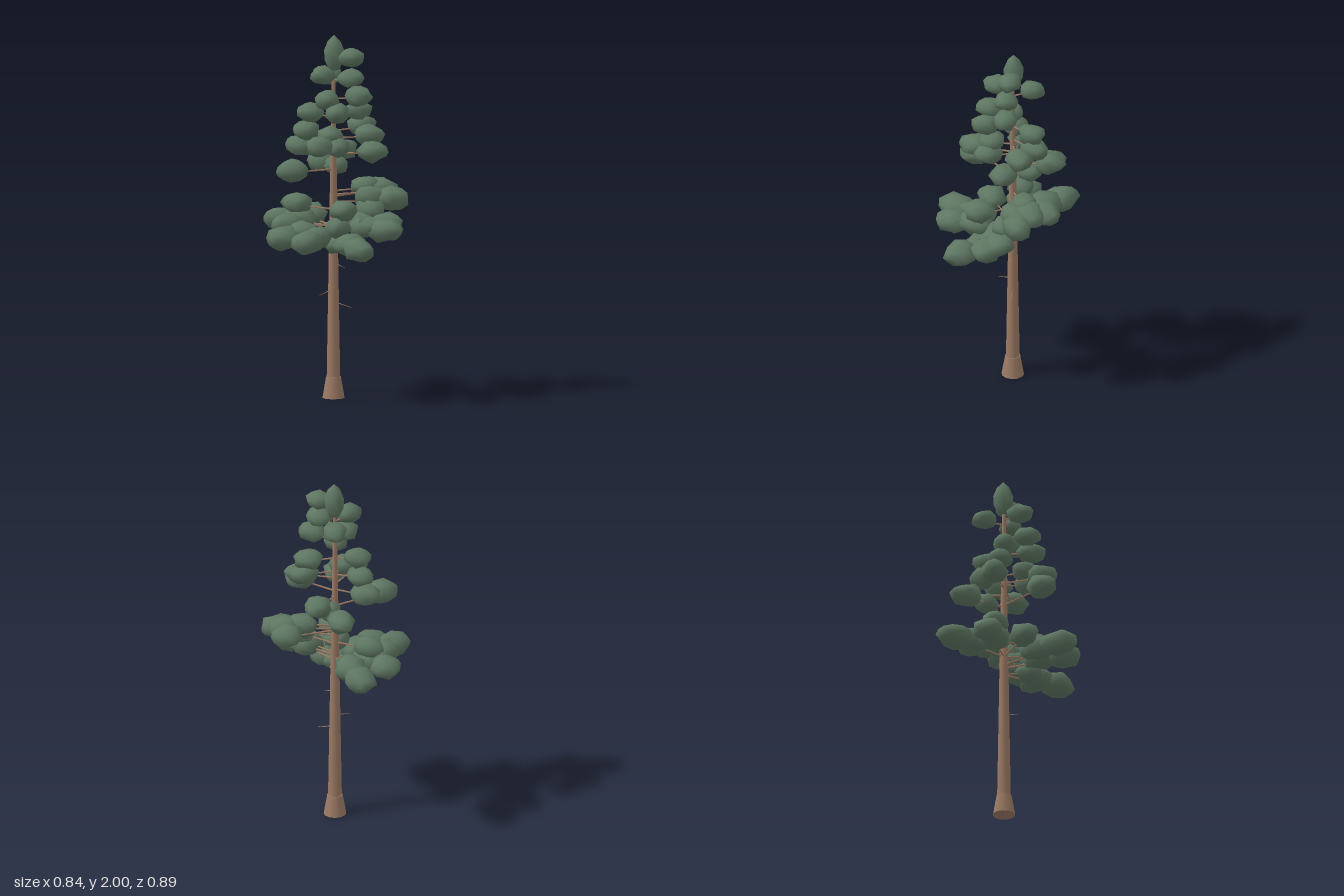
import * as THREE from 'three';
import { mergeVertices } from 'three/addons/utils/BufferGeometryUtils.js';

const TX = 0.063, TZ = 0.01; // trunk axis

// bough ends, from crown to lowest tier; clump sizes follow from the reach
const BOUGHS = [
  [0.11, 1.88, 0.1], [0.1, 1.77, 0.115], [-0.04, 1.79, 0.03], [0.125, 1.76, -0.085],
  [0.12, 1.67, 0.15], [-0.05, 1.66, 0.07], [-0.03, 1.59, 0.13], [-0.02, 1.57, -0.09],
  [0.22, 1.57, 0.04], [0.24, 1.49, 0.05], [-0.02, 1.47, -0.12], [-0.03, 1.46, 0.08],
  [0.21, 1.45, 0.14], [-0.13, 1.41, 0.1], [-0.02, 1.38, -0.17], [0.16, 1.37, 0.22],
  [-0.02, 1.4, 0.13], [0.24, 1.34, -0.09], [-0.23, 1.28, -0.015], [0.16, 1.27, -0.2],
  [0.14, 1.27, -0.05], [0.34, 1.13, 0.07], [0.3, 1.14, 0.15], [0.28, 1.1, 0.24],
  [0.22, 1.16, 0.1], [0.16, 1.05, 0.2], [-0.03, 1.06, 0.19], [-0.03, 1.06, -0.18],
  [0.19, 0.98, 0.29], [0.14, 0.95, 0.34], [-0.05, 0.86, 0.33], [-0.02, 0.87, 0.13],
  [-0.26, 0.9, 0.13], [-0.32, 0.92, 0.02], [-0.18, 0.97, -0.11], [-0.07, 0.97, -0.28],
  [0.13, 0.97, -0.34], [0.12, 0.99, 0.2], [-0.06, 0.97, 0.17],
];

// dead twigs on the bare trunk: height at the trunk, then the tip
const TWIGS = [[0.6, -0.04, 0.575, 0.01], [0.53, 0.115, 0.5, 0.1], [0.745, 0.085, 0.72, 0.08]];

function seeded(seed) {
  let s = seed;
  return () => (s = (s * 16807) % 2147483647) / 2147483647;
}

// lumpy blob with a tapered outer (+z) end
function clumpGeometry(rand, width, height, length) {
  let g = new THREE.IcosahedronGeometry(1, 1);
  g.deleteAttribute('uv');
  g.deleteAttribute('normal');
  g = mergeVertices(g, 1e-3);
  g.rotateZ(rand() * 6.28);
  const p = g.attributes.position;
  for (let i = 0; i < p.count; i++) {
    const k = 0.86 + rand() * 0.3;
    const z = p.getZ(i);
    const taper = z > 0 ? 1 - 0.12 * z : 1;
    p.setXYZ(i, p.getX(i) * k * taper * width, p.getY(i) * k * taper * height, z * k * length);
  }
  g.computeVertexNormals();
  return g;
}

// thin tapered limb from the trunk at height y to an end point
function limb(y, end, r0, r1, material, name) {
  const start = new THREE.Vector3(TX, y, TZ);
  const dir = end.clone().sub(start);
  const mesh = new THREE.Mesh(new THREE.CylinderGeometry(r1, r0, dir.length(), 5), material);
  mesh.position.copy(start).add(end).multiplyScalar(0.5);
  mesh.quaternion.setFromUnitVectors(new THREE.Vector3(0, 1, 0), dir.normalize());
  mesh.name = name;
  return mesh;
}

export function createModel() {
  const bark = new THREE.MeshStandardMaterial({ color: 0x9b7a64 });
  bark.name = 'bark brown';
  const needles = new THREE.MeshStandardMaterial({ color: 0x5e7662 });
  needles.name = 'needle green';
  const rand = seeded(4217);

  const tree = new THREE.Group();
  tree.name = 'pineTree';

  // trunk and flared foot
  const trunk = new THREE.Mesh(new THREE.CylinderGeometry(0.008, 0.038, 1.79, 12), bark);
  trunk.position.set(TX, 0.995, TZ);
  trunk.name = 'trunk';
  const foot = new THREE.Mesh(new THREE.CylinderGeometry(0.042, 0.062, 0.115, 12), bark);
  foot.position.set(TX, 0.0575, TZ);
  foot.name = 'rootFlare';
  tree.add(trunk, foot);

  // dead twigs
  for (const [y, ...tip] of TWIGS) {
    tree.add(limb(y, new THREE.Vector3(...tip), 0.004, 0.001, bark, 'deadTwig'));
  }

  // boughs, with a second clump further in on the long low ones
  for (const [x, y, z] of BOUGHS) {
    const reach = Math.hypot(x - TX, z - TZ);
    const bough = new THREE.Group();
    bough.name = 'bough';
    bough.add(limb(y - 0.02, new THREE.Vector3(x, y - 0.01, z), 0.006, 0.003, bark, 'branch'));
    const spots = reach > 0.29 && y < 1.2 ? [1, 0.64] : [1];
    for (const t of spots) {
      const g = clumpGeometry(rand, 0.056 + 0.08 * reach, 0.046 + 0.055 * reach, 0.06 + 0.12 * reach);
      const clump = new THREE.Mesh(g, needles);
      clump.position.set(TX + (x - TX) * t, y + (1 - t) * 0.03, TZ + (z - TZ) * t);
      clump.rotation.y = Math.atan2(x - TX, z - TZ);
      clump.name = 'needleClump';
      bough.add(clump);
    }
    tree.add(bough);
  }

  // pointed tip
  const tipProfile = [[0, -0.1], [0.03, -0.09], [0.052, -0.04], [0.055, 0.015], [0.035, 0.065], [0, 0.1]];
  const tip = new THREE.Mesh(
    new THREE.LatheGeometry(tipProfile.map(([r, h]) => new THREE.Vector2(r, h)), 8), needles);
  tip.position.set(0.068, 1.9, TZ);
  tip.name = 'treeTip';
  tree.add(tip);

  return tree;
}
